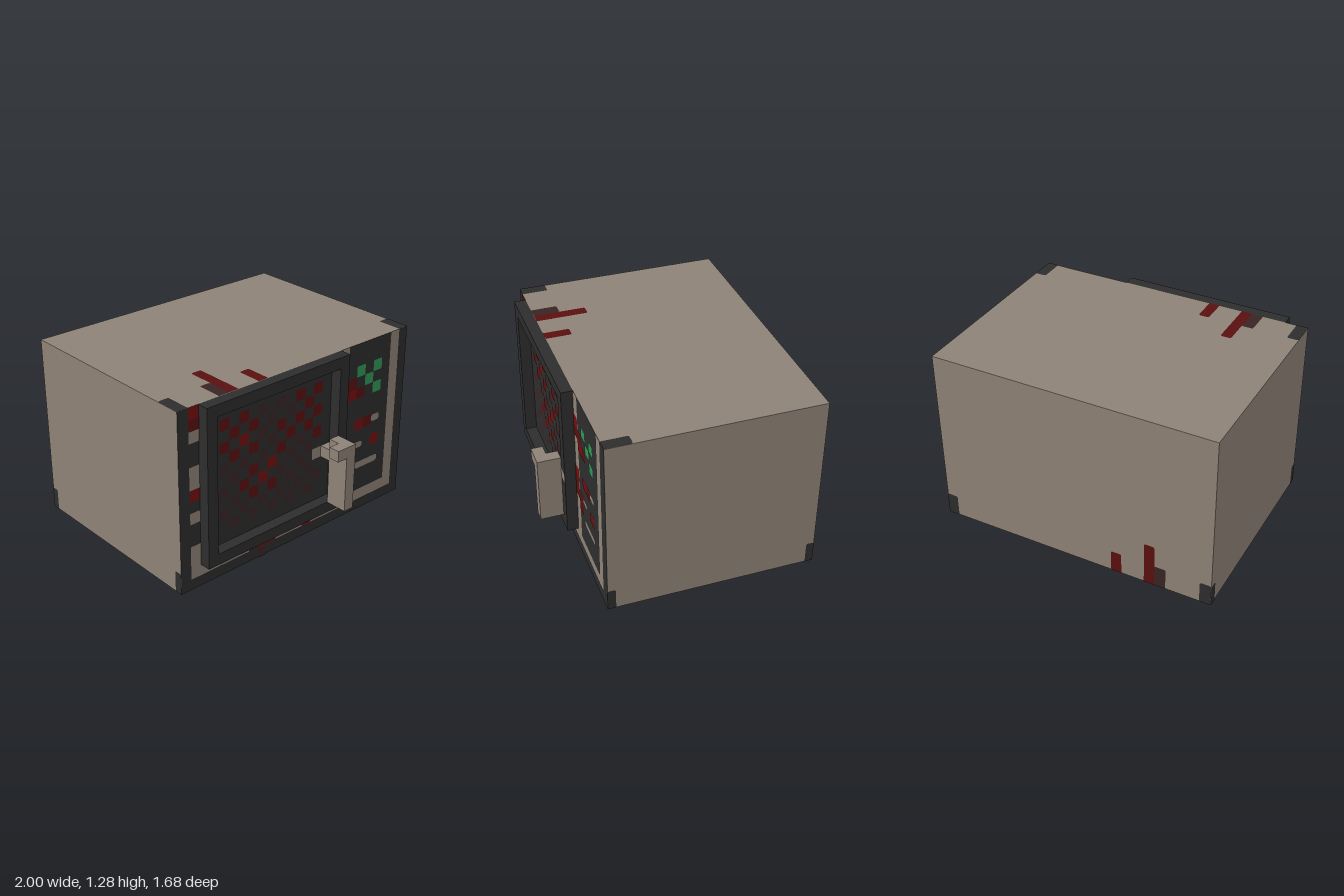
import * as THREE from 'three';
import { mergeGeometries } from 'three/addons/utils/BufferGeometryUtils.js';

const U = 0.08; // grid cell
const mat = (name, color) => Object.assign(new THREE.MeshStandardMaterial({ color }), { name });

export function createModel() {
  const group = new THREE.Group();
  const tan = mat('tan casing', 0x8e8276);
  const dark = mat('charcoal', 0x2d2d2d);
  const bright = mat('bright red', 0x760e0e);
  const mid = mat('deep red', 0x5a0f0f);
  const dim = mat('dim red', 0x392424);
  const green = mat('display green', 0x2f9656);

  const add = (name, geo, material, parent = group) => {
    const m = new THREE.Mesh(geo, material);
    m.name = name;
    parent.add(m);
    return m;
  };
  // box from min and max corners
  const box = (name, a, b, material) => {
    const g = new THREE.BoxGeometry(b[0] - a[0], b[1] - a[1], b[2] - a[2]);
    g.translate((a[0] + b[0]) / 2, (a[1] + b[1]) / 2, (a[2] + b[2]) / 2);
    return add(name, g, material);
  };
  // flat rectangle facing +z; rBottom and rTop round its corners
  const rect = (x0, y0, x1, y1, z = 0, rBottom = 0, rTop = rBottom) => {
    const s = new THREE.Shape();
    s.moveTo(x0 + rBottom, y0);
    s.lineTo(x1 - rBottom, y0);
    if (rBottom) s.quadraticCurveTo(x1, y0, x1, y0 + rBottom);
    s.lineTo(x1, y1 - rTop);
    if (rTop) s.quadraticCurveTo(x1, y1, x1 - rTop, y1);
    s.lineTo(x0 + rTop, y1);
    if (rTop) s.quadraticCurveTo(x0, y1, x0, y1 - rTop);
    s.lineTo(x0, y0 + rBottom);
    if (rBottom) s.quadraticCurveTo(x0, y0, x0 + rBottom, y0);
    return new THREE.ShapeGeometry(s, 4).translate(0, 0, z);
  };
  // block of cells on the front, counted from its top left
  const cells = (c, r, w, h, z, round = 0) =>
    rect(-1 + c * U, 1.28 - (r + h) * U, -1 + (c + w) * U, 1.28 - r * U, z, round);

  // casing with a charcoal front, and a two-tone underside
  box('casing', [-1, 0.001, -0.84], [1, 1.28, 0.6], [tan, tan, tan, tan, dark, tan]);
  for (const [x, m] of [[-0.5, tan], [0.5, dark]]) {
    add('underside', new THREE.PlaneGeometry(1, 1.44).rotateX(Math.PI / 2).translate(x, 0, -0.12), m);
  }

  // tan trim on the front: column, row, width, height
  const trim = [[17, 0, 1, 14], [23, 0, 1, 14], [1, 14, 23, 1], [1, 2, 1, 1], [1, 5, 1, 2], [1, 9, 1, 1], [1, 12, 1, 2]];
  add('frontTrim', mergeGeometries(trim.map(a => cells(...a, 0.602))), tan);

  // red stains on the front
  const stains = [
    [bright, [[1, 0], [1, 7], [17, 2], [17, 7], [18, 4], [19, 7], [21, 9], [8, 14], [13, 14], [9, 14]]],
    [mid, [[1, 1], [17, 3], [17, 8], [17, 9], [18, 3], [19, 4], [20, 7], [18, 9], [18, 10]]],
    [dim, [[7, 14], [8, 15]]],
  ];
  for (const [m, list] of stains) {
    add('frontStains', mergeGeometries(list.map(([c, r]) => cells(c, r, 1, 1, 0.604))), m);
  }

  // control panel: green display and tan buttons
  const lit = [[19, 2], [21, 2], [20, 3], [21, 4]];
  add('display', mergeGeometries(lit.map(([c, r]) => cells(c, r, 1, 1, 0.604, 0.01))), green);
  const buttons = [[0.68, 0.66, 0.76, 0.71], [0.52, 0.5, 0.6, 0.545], [0.54, 0.335, 0.76, 0.385]];
  add('buttons', mergeGeometries(buttons.map(b => rect(...b, 0.604, 0.022))), tan);

  // door frame around the recessed window
  const frame = new THREE.Shape([[-0.84, 0.16], [0.36, 0.16], [0.36, 1.28], [-0.84, 1.28]].map(p => new THREE.Vector2(...p)));
  frame.holes.push(new THREE.Path([[-0.76, 0.24], [-0.76, 1.2], [0.28, 1.2], [0.28, 0.24]].map(p => new THREE.Vector2(...p))));
  add('doorFrame', new THREE.ExtrudeGeometry(frame, { depth: U, bevelEnabled: false }).translate(0, 0, 0.6), dark);

  // window mesh dots, starting at column 4, row 2
  const mesh = [
    'm.m.d.d.m.m',
    '.m.m.d.d.m.',
    'm.b.d.m.m.m',
    '.m.m.d.m.m.',
    'd.d.d.m.d.m',
    '.d.m.b.d.d.',
    'd.m.b.d.d..',
    '.d.m.m.d.d.',
    'd.d.d.d.d.d',
    '.d.d.d.d.d.',
  ];
  for (const [key, m] of [['b', bright], ['m', mid], ['d', dim]]) {
    const dots = [];
    mesh.forEach((row, r) => [...row].forEach((ch, c) => {
      if (ch === key) dots.push(cells(c + 4, r + 2, 1, 1, 0.602, 0.012));
    }));
    add('windowMesh', mergeGeometries(dots), m);
  }

  // handle with its mount
  box('handleBar', [0.2, 0.24, 0.68], [0.28, 0.72, 0.84], tan);
  box('handleHook', [0.12, 0.64, 0.76], [0.2, 0.72, 0.84], tan);
  box('handleMount', [0.2, 0.56, 0.6], [0.28, 0.64, 0.68], tan);
  add('handleMarks', mergeGeometries([cells(14, 8, 1, 1, 0.602), cells(16, 8, 1, 1, 0.682)]), tan);

  // corner patches and drips, in a frame where u is x and v runs away from the edge
  const patches = (name, len, turn) => {
    const g = new THREE.Group();
    g.name = name;
    const strip = (u0, u1, v) => rect(u0, 0, u1, v * len, 0, 0, 0.015);
    add('cornerPatches', mergeGeometries([strip(-1, -0.92, 1), strip(0.92, 1, 1)]), dark, g);
    add('drips', mergeGeometries([strip(-0.6, -0.525, 2), strip(-0.36, -0.285, 1)]), mid, g);
    add('dimDrip', strip(-0.68, -0.6, 1), dim, g);
    g.children.forEach(c => turn(c.geometry));
    group.add(g);
  };
  patches('topStains', 0.18, q => q.rotateX(-Math.PI / 2).translate(0, 1.282, 0.6));
  // the back is mirrored in x, so its triangles are turned over
  patches('backStains', 0.16, q => {
    q.translate(0, 0.001, -0.842);
    const i = q.index.array;
    for (let k = 0; k < i.length; k += 3) [i[k], i[k + 1]] = [i[k + 1], i[k]];
    q.computeVertexNormals();
  });

  // corner patches on both sides
  for (const s of [-1, 1]) {
    const g = mergeGeometries([[-0.72, -0.664], [0.664, 0.72]].map(([a, b]) => rect(a, 0.001, b, 0.155, 0, 0, 0.015)));
    add('sideCorners', g.rotateY(s * Math.PI / 2).translate(s * 1.002, 0, -0.12), dark);
  }
  return group;
}
